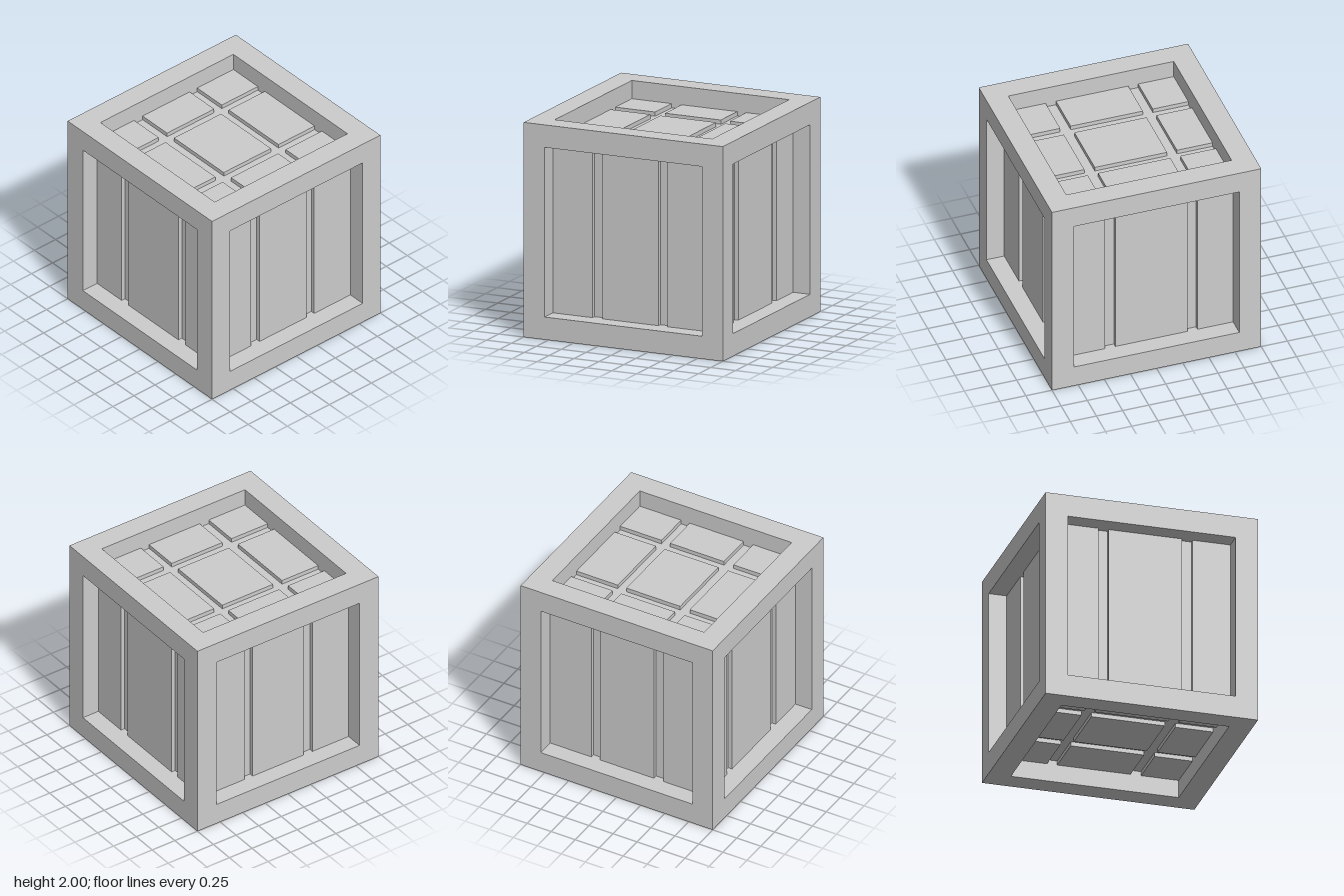
import * as THREE from 'three';

const FRAME = 0.21;          // square section of the frame beams
const INNER = 1 - FRAME;     // half size of the core between the beams
const PANEL = 0.83;          // half size out to the raised block faces

export function createModel() {
  const group = new THREE.Group();
  const grey = new THREE.MeshStandardMaterial({ color: 0xcccccc });
  grey.name = 'grey';

  const box = (name, w, h, d, x, y, z) => {
    const mesh = new THREE.Mesh(new THREE.BoxGeometry(w, h, d), grey);
    mesh.name = name;
    mesh.position.set(x, y, z);
    group.add(mesh);
  };

  // Frame: four posts, with rails between them at top and bottom
  const c = 1 - FRAME / 2;
  for (const a of [-1, 1]) {
    for (const b of [-1, 1]) {
      box('framePost', FRAME, 2, FRAME, a * c, 1, b * c);
      box('frameRailAcross', 2 * INNER, FRAME, FRAME, 0, 1 + a * c, b * c);
      box('frameRailDeep', FRAME, FRAME, 2 * INNER, a * c, 1 + b * c, 0);
    }
  }

  // Core: forms the floor of every groove
  box('core', 2 * INNER, 2 * INNER, 2 * INNER, 0, 1, 0);

  // Nine upright blocks, parted by grooves running across x and z
  const columns = [[-PANEL, -0.39], [-0.29, 0.27], [0.36, PANEL]];
  const rows = [[-PANEL, -0.45], [-0.355, 0.335], [0.435, PANEL]];
  for (const [x0, x1] of columns) {
    for (const [z0, z1] of rows) {
      box('block', x1 - x0, 2 * PANEL, z1 - z0, (x0 + x1) / 2, 1, (z0 + z1) / 2);
    }
  }
  return group;
}
